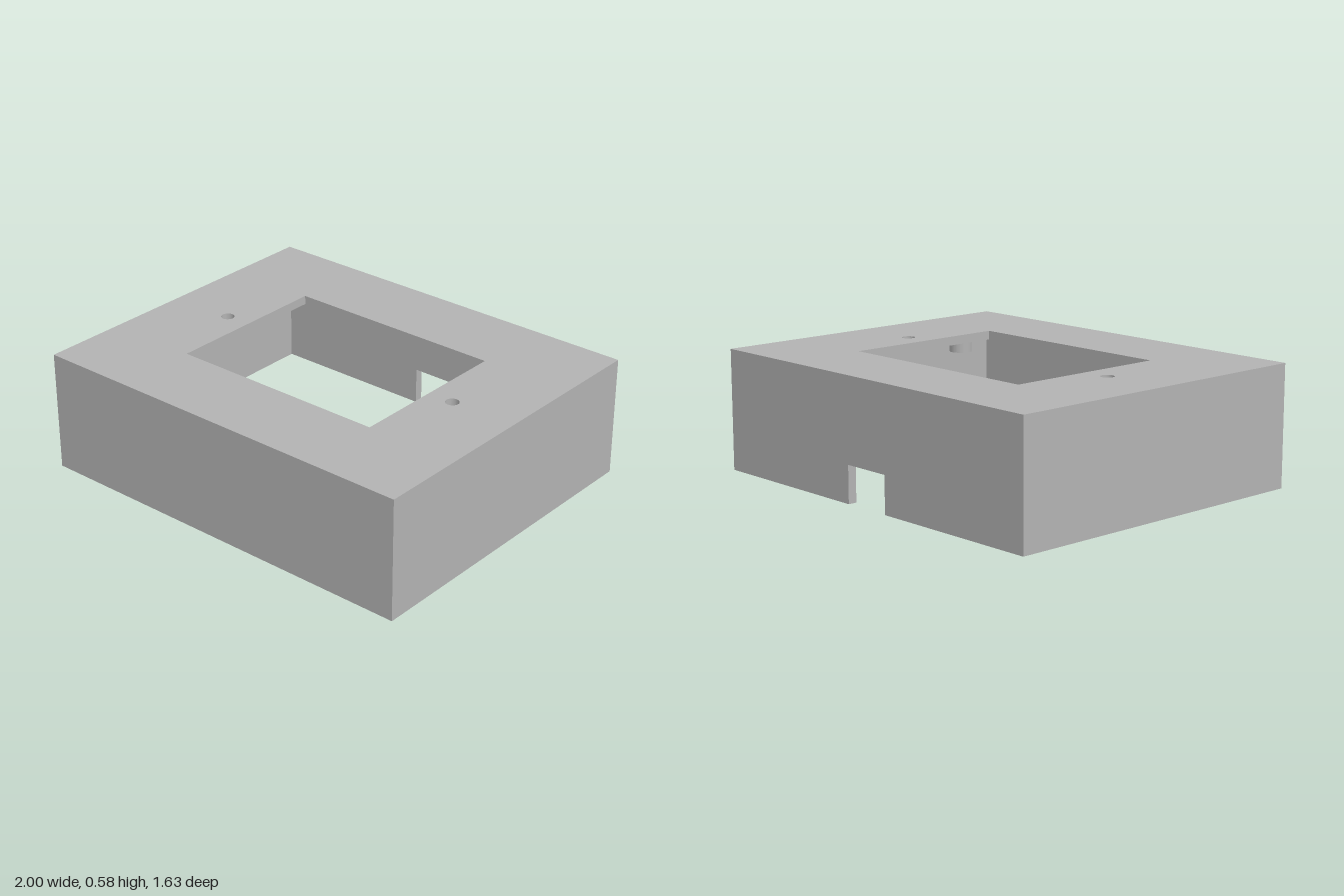
import * as THREE from 'three';

const W = 2, D = 1.63, H = 0.585;   // outer size
const T = 0.043;                    // wall and top plate thickness
const WALL_H = H - T;

export function createModel() {
  const group = new THREE.Group();
  const grey = new THREE.MeshStandardMaterial({ color: 0xb2b2b2 });
  grey.name = 'greyPlastic';

  const add = (name, geometry, x, y, z) => {
    const mesh = new THREE.Mesh(geometry, grey);
    mesh.name = name;
    mesh.position.set(x, y, z);
    group.add(mesh);
    return mesh;
  };
  const polygon = (Type, points) => new Type(points.map(([x, y]) => new THREE.Vector2(x, y)));
  const rectangle = (Type, hx, hy) => polygon(Type, [[-hx, -hy], [hx, -hy], [hx, hy], [-hx, hy]]);
  const extrude = (shape, depth) =>
    new THREE.ExtrudeGeometry(shape, { depth, bevelEnabled: false, curveSegments: 24 });

  // Top plate with the window and two screw holes
  const plate = rectangle(THREE.Shape, W / 2, D / 2);
  plate.holes.push(rectangle(THREE.Path, 0.543, 0.413));
  for (const x of [-0.672, 0.672]) {
    plate.holes.push(new THREE.Path().absarc(x, 0, 0.032, 0, Math.PI * 2, true));
  }
  add('topPlate', extrude(plate, T).rotateX(-Math.PI / 2), 0, WALL_H, 0);

  // Front and side walls, open underneath
  add('frontWall', new THREE.BoxGeometry(W, WALL_H, T), 0, WALL_H / 2, D / 2 - T / 2);
  for (const side of [-1, 1]) {
    add(side > 0 ? 'leftWall' : 'rightWall',
      new THREE.BoxGeometry(T, WALL_H, D - 2 * T), side * (W / 2 - T / 2), WALL_H / 2, 0);
  }

  // Back wall with the cable notch at its lower edge
  const back = polygon(THREE.Shape, [
    [-W / 2, 0], [-0.126, 0], [-0.126, 0.18], [0.126, 0.18],
    [0.126, 0], [W / 2, 0], [W / 2, WALL_H], [-W / 2, WALL_H],
  ]);
  add('backWall', extrude(back, T), 0, 0, -D / 2);

  // Hollow screw posts hanging under the plate
  const post = new THREE.Shape().absarc(0, 0, 0.055, 0, Math.PI * 2, false);
  post.holes.push(new THREE.Path().absarc(0, 0, 0.019, 0, Math.PI * 2, true));
  const postGeometry = extrude(post, 0.08).rotateX(-Math.PI / 2);
  for (const x of [-0.73, 0.73]) {
    for (const z of [-0.39, 0.39]) add('screwPost', postGeometry, x, WALL_H - 0.08, z);
  }

  return group;
}
